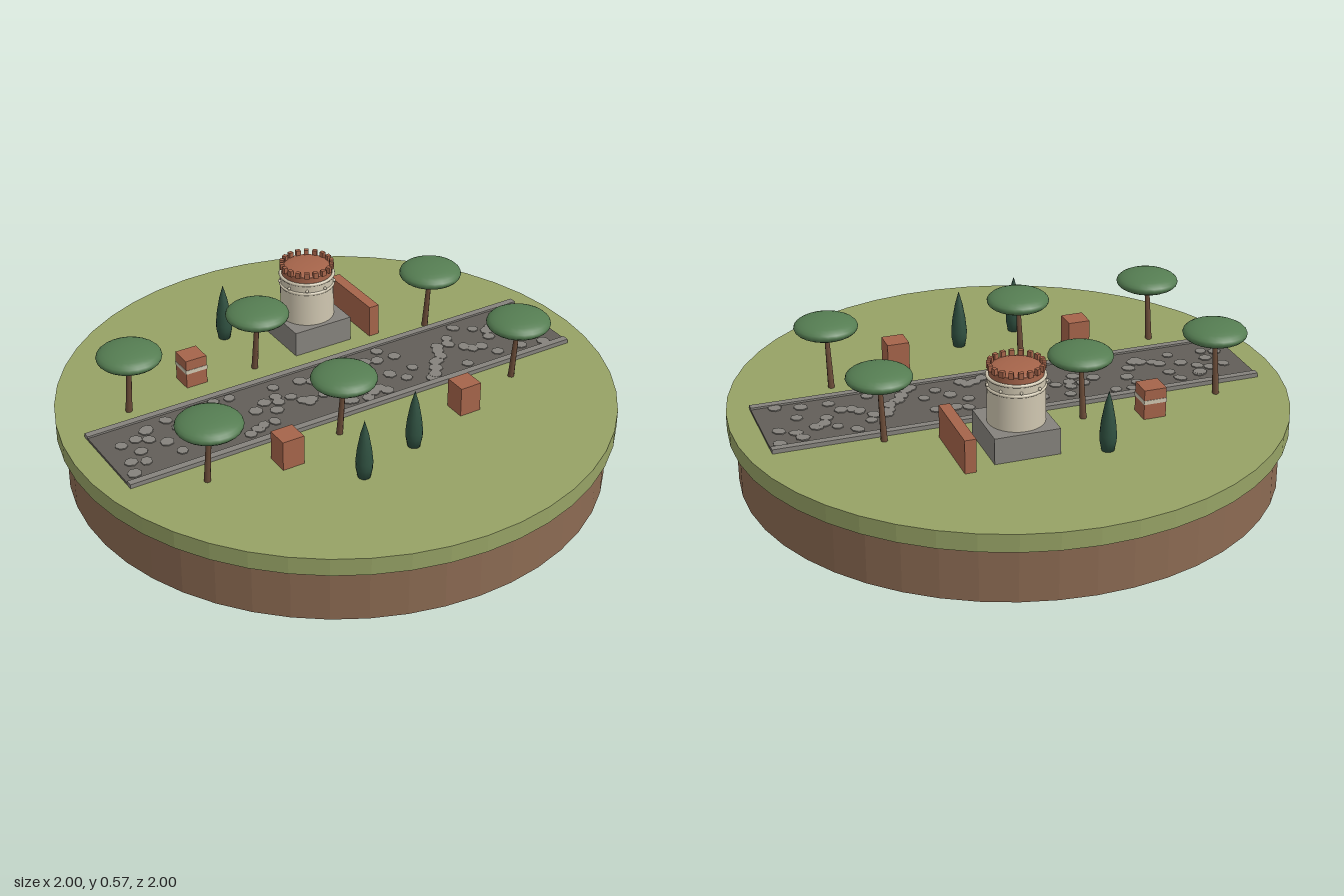
import * as THREE from 'three';

const GROUND = 0.265;
const TURN = -Math.PI / 9; // everything aligns with the diagonal road

function material(name, color, flatShading = false) {
  const m = new THREE.MeshStandardMaterial({ color, flatShading });
  m.name = name;
  return m;
}

function add(parent, name, geometry, mat, x = 0, y = 0, z = 0) {
  const mesh = new THREE.Mesh(geometry, mat);
  mesh.name = name;
  mesh.position.set(x, y, z);
  parent.add(mesh);
  return mesh;
}

function group(parent, name, x = 0, z = 0, turn = 0) {
  const g = new THREE.Group();
  g.name = name;
  g.position.set(x, GROUND, z);
  g.rotation.y = turn;
  parent.add(g);
  return g;
}

function seeded(seed) {
  return () => (seed = (seed * 16807) % 2147483647) / 2147483647;
}

export function createModel() {
  const model = new THREE.Group();
  model.name = 'roadDiorama';
  const grass = material('grass', 0x96a265, true);
  const soil = material('soil', 0x8b6a52, true);
  const paving = material('paving', 0x625e58);
  const stone = material('stone', 0x85827c);
  const brick = material('brick', 0xa5644a);
  const cream = material('cream', 0xcfc6b0);
  const bark = material('bark', 0x6b4c38);
  const pine = material('pineGreen', 0x557d52);
  const cypressGreen = material('cypressGreen', 0x2f5040);

  // Round base
  add(model, 'soilDisc', new THREE.CylinderGeometry(0.97, 0.97, 0.2, 48), soil, 0, 0.1, 0);
  add(model, 'grassDisc', new THREE.CylinderGeometry(1, 1, 0.065, 48), grass, 0, 0.2325, 0);

  // Road with kerbs and scattered paving stones
  const road = group(model, 'road', 0, 0, TURN);
  add(road, 'roadBed', new THREE.BoxGeometry(0.32, 0.01, 1.8), paving, 0, 0.004, 0);
  for (const side of [-1, 1]) {
    add(road, 'kerb', new THREE.BoxGeometry(0.026, 0.018, 1.8), stone, side * 0.166, 0.007, 0);
  }
  const random = seeded(71);
  const slab = new THREE.CylinderGeometry(0.025, 0.025, 0.004, 7);
  for (let i = 0; i < 84; i++) {
    const x = (random() - 0.5) * 0.27;
    const z = -0.87 + (i + random()) * (1.74 / 84);
    const s = add(road, 'pavingStone', slab, stone, x, 0.0108 + random() * 0.001, z);
    s.rotation.y = random() * 6;
    s.scale.set(0.8 + random() * 0.3, 1, 0.8 + random() * 0.3);
  }

  // Umbrella pines with slightly leaning trunks
  const canopy = new THREE.SphereGeometry(0.115, 24, 14);
  const pines = [[0, -0.56], [0.46, -0.46], [-0.3, 0.075], [0.21, 0.22], [-0.455, 0.57], [0.045, 0.715]];
  for (const [x, z] of pines) {
    const tree = group(model, 'umbrellaPine', x, z);
    const trunk = add(tree, 'pineTrunk', new THREE.CylinderGeometry(0.008, 0.012, 0.22, 8), bark, -0.01, 0.107, 0);
    trunk.rotation.z = -0.08;
    add(tree, 'pineCanopy', canopy, pine, 0, 0.232, 0).scale.y = 0.33;
  }

  // Slender cypresses
  const profile = [[0, 0], [0.022, 0], [0.029, 0.035], [0.03, 0.06], [0.025, 0.11], [0.014, 0.17], [0, 0.22]]
    .map(([r, y]) => new THREE.Vector2(r, y));
  const cypress = new THREE.LatheGeometry(profile, 14);
  for (const [x, z] of [[-0.55, -0.02], [0.435, 0.12], [0.415, 0.37]]) {
    add(model, 'cypress', cypress, cypressGreen, x, GROUND, z);
  }

  // Brick tombs, one with a pale band
  for (const [x, z] of [[0.43, -0.18], [-0.44, 0.28], [0.16, 0.46]]) {
    const tomb = group(model, 'brickTomb', x, z, TURN);
    add(tomb, 'tombBlock', new THREE.BoxGeometry(0.082, 0.11, 0.082), brick, 0, 0.055, 0);
    if (x < 0) add(tomb, 'paleBand', new THREE.BoxGeometry(0.085, 0.015, 0.085), cream, 0, 0.064, 0);
  }

  // Ruined wall
  const wall = group(model, 'ruinedWall', -0.255, -0.43, TURN);
  add(wall, 'wallBlock', new THREE.BoxGeometry(0.28, 0.122, 0.04), brick, 0, 0.061, 0);

  // Round tower on a square plinth
  const tower = group(model, 'roundTower', -0.322, -0.231, TURN);
  add(tower, 'plinth', new THREE.BoxGeometry(0.234, 0.095, 0.234), stone, 0, 0.0475, 0);
  add(tower, 'drum', new THREE.CylinderGeometry(0.098, 0.1, 0.17, 32), cream, 0, 0.18, 0);
  for (const y of [0.225, 0.262]) {
    add(tower, 'drumMoulding', new THREE.TorusGeometry(0.098, 0.006, 8, 32), cream, 0, y, 0).rotation.x = Math.PI / 2;
  }
  add(tower, 'parapet', new THREE.CylinderGeometry(0.093, 0.093, 0.025, 32), brick, 0, 0.2765, 0);
  add(tower, 'roofDome', new THREE.SphereGeometry(0.09, 32, 8, 0, Math.PI * 2, 0, Math.PI / 2), brick, 0, 0.286, 0).scale.y = 0.16;
  const merlon = new THREE.BoxGeometry(0.017, 0.022, 0.015);
  const bead = new THREE.SphereGeometry(0.006, 8, 6);
  for (let i = 0; i < 18; i++) {
    const a = (i / 18) * Math.PI * 2;
    add(tower, 'merlon', merlon, brick, Math.sin(a) * 0.092, 0.298, Math.cos(a) * 0.092).rotation.y = a;
    if (i % 2) add(tower, 'friezeBead', bead, cream, Math.sin(a) * 0.102, 0.238, Math.cos(a) * 0.102);
  }
  return model;
}
